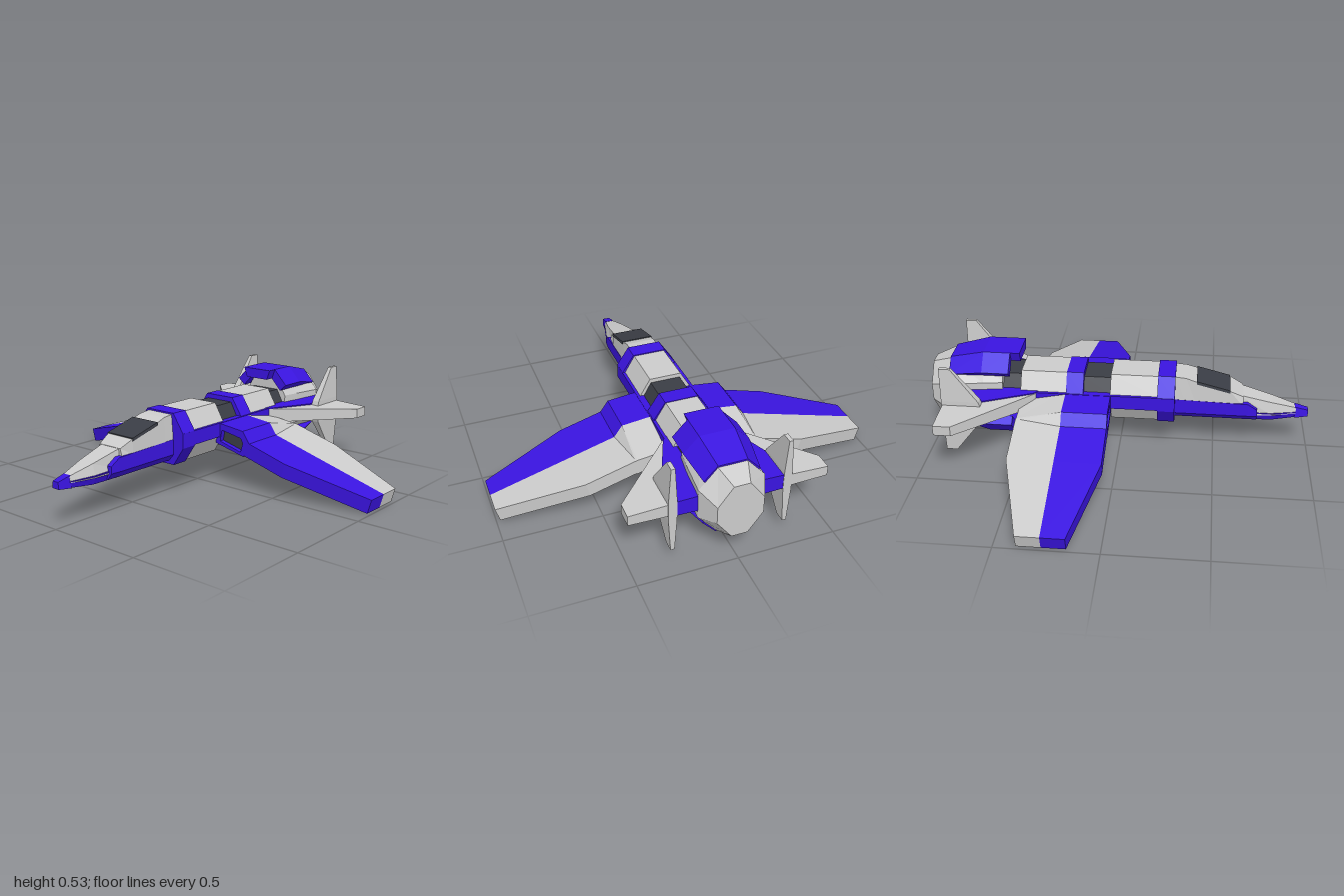
import * as THREE from 'three';

const mat = (color) => new THREE.MeshStandardMaterial({ color, flatShading: true });
const BLUE = mat(0x3a14e0), DARK = mat(0x3a3d45), GREY = mat(0xcccccc);

// Flat-shaded solid through matching rings of [x, y, z], with both ends capped.
function loft(rings) {
  const tris = [];
  const n = rings[0].length;
  for (let r = 0; r + 1 < rings.length; r++) {
    for (let i = 0; i < n; i++) {
      const j = (i + 1) % n, a = rings[r], b = rings[r + 1];
      tris.push([a[i], a[j], b[j]], [a[i], b[j], b[i]]);
    }
  }
  const first = rings[0], last = rings[rings.length - 1];
  for (let i = 1; i + 1 < n; i++) {
    tris.push([first[0], first[i + 1], first[i]], [last[0], last[i], last[i + 1]]);
  }
  // A negative volume means the faces point inwards, so turn them round.
  const v = (p) => new THREE.Vector3(...p);
  let volume = 0;
  for (const [a, b, c] of tris) volume += v(a).dot(v(b).cross(v(c)));
  const flat = tris.flatMap(([a, b, c]) => (volume < 0 ? [a, c, b] : [a, b, c])).flat();
  const g = new THREE.BufferGeometry();
  g.setAttribute('position', new THREE.Float32BufferAttribute(flat, 3));
  g.computeVertexNormals();
  return g;
}

// Octagon in the xy plane: half-width w, half-top t, half-height h, half-side s.
const octagon = (z, w, t, h, s, cy) =>
  [[t, h], [w, s], [w, -s], [t, -h], [-t, -h], [-w, -s], [-w, s], [-t, h]]
    .map(([x, y]) => [x, cy + y, z]);

// Trapezoid with half-widths and heights at its bottom and top.
const trapezoid = (z, wBottom, yBottom, wTop, yTop) =>
  [[wBottom, yBottom, z], [wTop, yTop, z], [-wTop, yTop, z], [-wBottom, yBottom, z]];

export function createModel() {
  const model = new THREE.Group();
  const add = (name, material, rings, parent = model) => {
    const mesh = new THREE.Mesh(loft(rings), material);
    mesh.name = name;
    parent.add(mesh);
  };

  // Fuselage: octagonal segments from front to back
  const segment = (name, m, z0, z1, w, t, h, s) =>
    add(name, m, [octagon(z0, w, t, h, s, 0.315), octagon(z1, w, t, h, s, 0.315)]);
  segment('frontCollar', BLUE, 0.29, 0.2, 0.155, 0.09, 0.135, 0.038);
  segment('frontBody', GREY, 0.2, -0.045, 0.14, 0.085, 0.13, 0.038);
  segment('midJoint', DARK, -0.045, -0.19, 0.12, 0.08, 0.108, 0.035);
  segment('rearCollar', BLUE, -0.185, -0.275, 0.15, 0.088, 0.133, 0.038);
  segment('rearBody', GREY, -0.275, -0.515, 0.14, 0.085, 0.13, 0.038);
  segment('neck', DARK, -0.515, -0.62, 0.12, 0.08, 0.108, 0.035);

  // Cockpit: lower hull, canopy and glass
  const hull = (z, w, top) => [[0.06, 0.2], [w, 0.235], [w, top], [-w, top], [-w, 0.235], [-0.06, 0.2]]
    .map(([x, y]) => [x, y, z]);
  add('cockpitHull', BLUE, [hull(0.29, 0.09, 0.315), hull(0.67, 0.09, 0.305), hull(0.72, 0.085, 0.27)]);
  add('canopy', GREY, [
    trapezoid(0.29, 0.09, 0.3, 0.078, 0.442), trapezoid(0.345, 0.09, 0.3, 0.078, 0.437),
    trapezoid(0.4, 0.09, 0.3, 0.082, 0.42), trapezoid(0.575, 0.088, 0.3, 0.084, 0.375),
    trapezoid(0.645, 0.085, 0.29, 0.07, 0.34)]);
  add('canopyGlass', DARK, [
    trapezoid(0.4, 0.088, 0.41, 0.086, 0.425), trapezoid(0.575, 0.088, 0.365, 0.086, 0.38)]);

  // Nose
  add('nose', GREY, [
    trapezoid(0.62, 0.075, 0.23, 0.062, 0.345), trapezoid(0.8, 0.062, 0.23, 0.045, 0.297),
    trapezoid(0.925, 0.03, 0.23, 0.022, 0.262)]);
  add('chin', BLUE, [
    trapezoid(0.62, 0.055, 0.197, 0.078, 0.25), trapezoid(0.8, 0.045, 0.195, 0.064, 0.242),
    trapezoid(0.925, 0.02, 0.204, 0.031, 0.238)]);
  add('noseTip', BLUE, [trapezoid(0.92, 0.03, 0.204, 0.023, 0.265), trapezoid(0.99, 0.022, 0.212, 0.018, 0.247)]);

  // Engine
  const cy = 0.308;
  add('engine', GREY, [
    octagon(-0.61, 0.135, 0.075, 0.185, 0.085, cy), octagon(-0.71, 0.15, 0.075, 0.188, 0.085, cy),
    octagon(-0.89, 0.165, 0.073, 0.185, 0.08, cy), octagon(-0.995, 0.115, 0.04, 0.145, 0.045, cy)]);

  // Armour above and below the engine: a flat slab with a sloping one on each side
  for (const up of [1, -1]) {
    const ring = (z, pts, s = 1) => pts.map(([x, y]) => [s * x, cy + up * y, z]);
    const flat = [[-0.09, 0.237], [0.09, 0.237], [0.07, 0.183], [-0.07, 0.183]];
    const flatEnd = [[-0.073, 0.193], [0.073, 0.193], [0.06, 0.17], [-0.06, 0.17]];
    add('engineArmour', BLUE, [ring(-0.52, flat), ring(-0.71, flat), ring(-0.89, flatEnd)]);
    for (const s of [1, -1]) {
      const slope = [[0.09, 0.237], [0.167, 0.155], [0.128, 0.12], [0.07, 0.183]];
      const slopeEnd = [[0.073, 0.193], [0.14, 0.122], [0.12, 0.11], [0.06, 0.17]];
      add('engineArmourSide', BLUE, [ring(-0.57, slope, s), ring(-0.71, slope, s), ring(-0.89, slopeEnd, s)]);
    }
  }

  // Paired parts
  for (const s of [1, -1]) {
    const side = new THREE.Group();
    side.name = s > 0 ? 'leftSide' : 'rightSide';
    model.add(side);
    const zOff = s > 0 ? 0 : -0.042;
    const section = (z, pts) => pts.map(([x, y]) => [s * x, y, z + zOff]);

    // Side rail
    const rail = (z) => [[0.12, 0.28], [0.155, 0.28], [0.155, 0.354], [0.12, 0.354]].map(([x, y]) => [s * x, y, z]);
    add('sideRail', BLUE, [rail(0.285), rail(-0.565)], side);

    // Wing root with a recessed intake
    const outer = [[0.13, 0.355], [0.305, 0.335], [0.35, 0.272], [0.31, 0.2], [0.13, 0.243]];
    const inner = [[0.168, 0.318], [0.292, 0.295], [0.325, 0.24], [0.305, 0.218], [0.157, 0.257]];
    const tail = [[0.13, 0.308], [0.305, 0.286], [0.315, 0.281], [0.31, 0.202], [0.13, 0.245]];
    add('wingRoot', BLUE, [section(-0.235, outer), section(0, outer), section(0, inner), section(-0.03, inner)], side);
    add('intake', DARK, [section(-0.032, inner), section(-0.027, inner)], side);
    add('wingRootRear', GREY, [section(-0.235, outer), section(-0.468, tail)], side);

    // Drooping outer wing: blue front half, grey rear half
    const wingRing = (x, z0, z1) => {
      const top = 0.275 - 0.284 * (x - 0.35);
      return [[x, top, z0], [x, top, z1], [x - 0.02, top - 0.073, z1], [x - 0.02, top - 0.073, z0]]
        .map(([px, y, z]) => [s * px, y, z + zOff]);
    };
    add('wingFront', BLUE, [wingRing(0.31, 0, -0.235), wingRing(0.57, 0, -0.235), wingRing(1, -0.118, -0.235)], side);
    add('wingRear', GREY, [wingRing(0.31, -0.235, -0.47), wingRing(0.57, -0.235, -0.47), wingRing(1, -0.235, -0.352)], side);

    // Tailplane with blue inner panel
    const plate = (x, z0, z1, y0, y1) => [[x, y0, z0], [x, y1, z0], [x, y1, z1], [x, y0, z1]].map(([px, y, z]) => [s * px, y, z]);
    add('tailplane', GREY, [plate(0.12, -0.4, -0.888, 0.272, 0.352), plate(0.165, -0.44, -0.888, 0.274, 0.35),
      plate(0.5, -0.8, -0.888, 0.284, 0.336)], side);
    add('tailplanePanel', BLUE, [plate(0.12, -0.4, -0.89, 0.267, 0.357), plate(0.165, -0.445, -0.89, 0.269, 0.355),
      plate(0.265, -0.69, -0.89, 0.272, 0.352)], side);

    // Tail fins above and below the tailplane
    for (const up of [1, -1]) {
      const finRing = (dy, w, front) => [[-w, front], [w, front], [w, -0.892], [-w, -0.892]]
        .map(([x, z]) => [s * (0.287 + x), cy + up * dy, z]);
      add('tailFin', GREY, [finRing(0, 0.022, -0.68), finRing(0.06, 0.021, -0.7), finRing(0.237, 0.01, -0.835)], side);
    }
  }
  return model;
}
